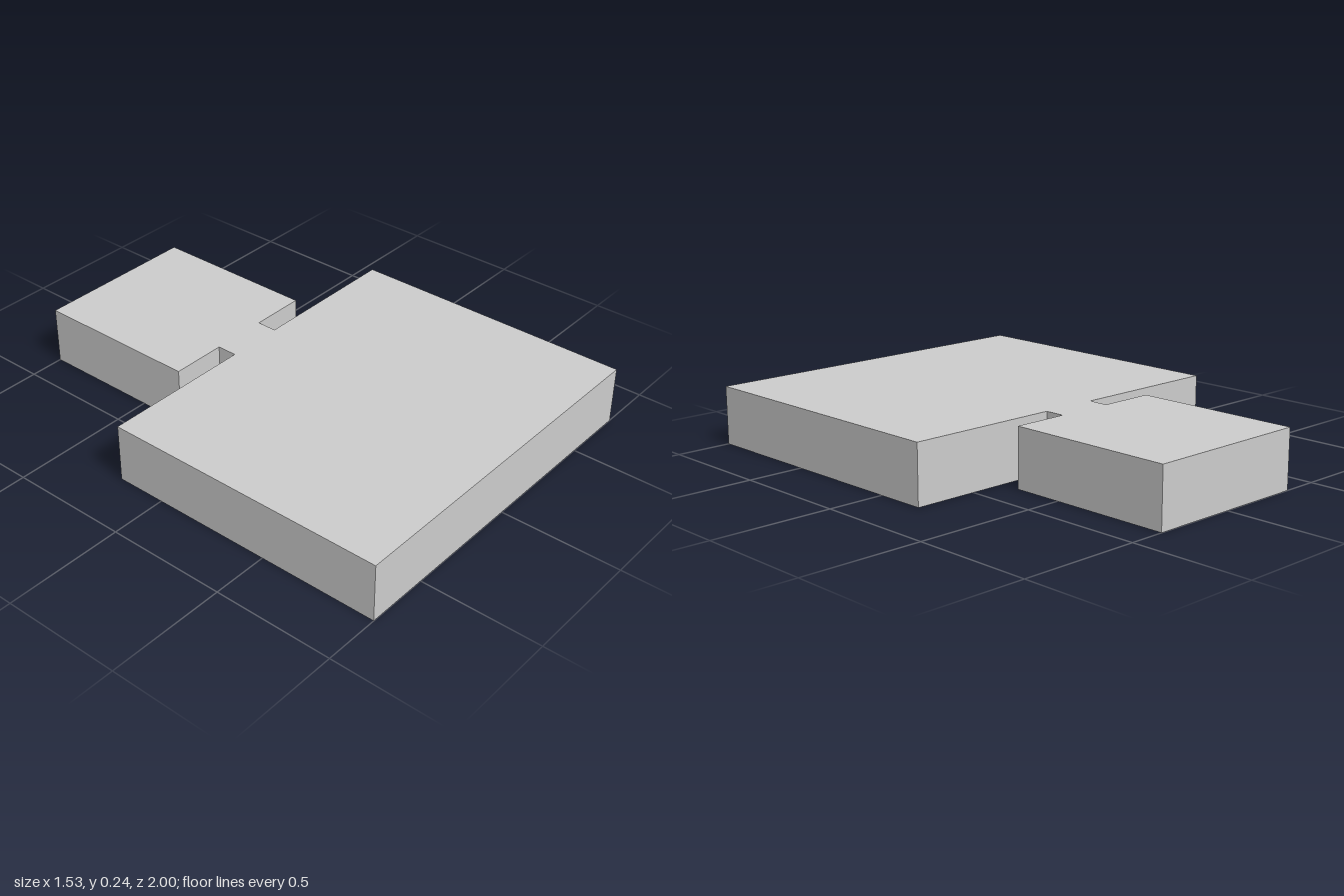
import * as THREE from 'three';

export function createModel() {
  const group = new THREE.Group();
  group.name = 'keyedPlate';

  // Half outline as [x, depth towards the back]: wide plate, narrow neck, square tab
  const half = [
    [0.765, -1], [0.765, 0.209],
    [0.12, 0.209], [0.12, 0.293],
    [0.353, 0.293], [0.353, 1],
  ];
  const mirrored = half.map(([x, d]) => [-x, d]).reverse();
  const outline = [...half, ...mirrored].map(([x, d]) => new THREE.Vector2(x, d));

  // Raise the outline to the slab's thickness and lay it flat
  const geometry = new THREE.ExtrudeGeometry(new THREE.Shape(outline), {
    depth: 0.243,
    bevelEnabled: false,
  });
  geometry.rotateX(-Math.PI / 2);

  const slab = new THREE.Mesh(
    geometry,
    new THREE.MeshStandardMaterial({ color: 0xcccccc, flatShading: true })
  );
  slab.name = 'plateWithTab';
  group.add(slab);
  return group;
}
